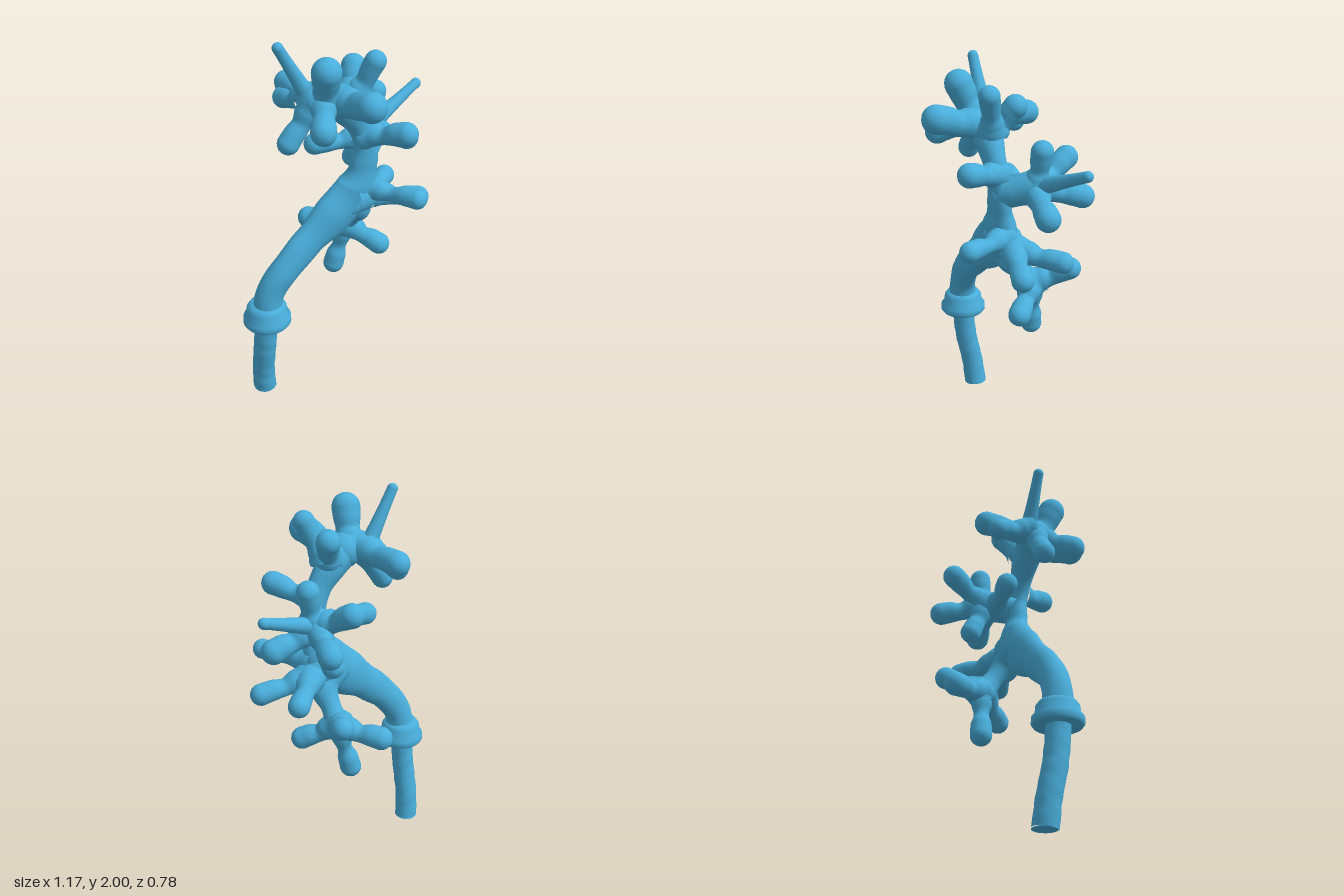
import * as THREE from 'three';
import { mergeGeometries, mergeVertices } from 'three/addons/utils/BufferGeometryUtils.js';

const blue = new THREE.MeshStandardMaterial({ color: 0x49aedb });
blue.name = 'blue';

// Drop seams so that the normals are smooth all round
function smooth(geo) {
  geo.deleteAttribute('uv');
  geo.deleteAttribute('normal');
  const g = mergeVertices(geo, 1e-4);
  g.computeVertexNormals();
  return g;
}

// Ball that closes the end of a tube
function ball([x, y, z, r], sy = 1) {
  return smooth(new THREE.SphereGeometry(r, 20, 14).scale(1, sy, 1).translate(x, y, z));
}

// Tube through points [x, y, z, radius]; flat thins it in z midway, ripple makes it uneven
function sweep(pts, { seg = 28, sides = 18, flat = 0, ripple = 0 } = {}) {
  const curve = new THREE.CatmullRomCurve3(pts.map(p => new THREE.Vector3(p[0], p[1], p[2])));
  const geo = new THREE.TubeGeometry(curve, seg, 1, sides);
  const pos = geo.attributes.position, nor = geo.attributes.normal;
  for (let i = 0; i <= seg; i++) {
    const u = i / seg, c = curve.getPointAt(u);
    const t = curve.getUtoTmapping(u) * (pts.length - 1);
    const k = Math.min(Math.floor(t), pts.length - 2);
    const base = THREE.MathUtils.lerp(pts[k][3], pts[k + 1][3], THREE.MathUtils.smoothstep(t - k, 0, 1));
    const zs = 1 - flat * Math.sin(Math.PI * u);
    for (let j = 0; j <= sides; j++) {
      const n = i * (sides + 1) + j;
      const a = (j / sides) * Math.PI * 2;
      const r = base * (1 + ripple * (Math.sin(u * 43 + 3 * Math.sin(a)) + Math.sin(u * 29 + 2 * Math.cos(a))));
      pos.setXYZ(n, c.x + nor.getX(n) * r, c.y + nor.getY(n) * r, c.z + nor.getZ(n) * r * zs);
    }
  }
  return smooth(geo);
}

// Branch from a hub: flared root, narrow neck, rounded swollen tip
function club(root, tip, neck = 0.046, flare = 0.078) {
  const at = (f, r) => [0, 1, 2].map(i => root[i] + (tip[i] - root[i]) * f).concat(r);
  const mid = at(0.5, neck);
  mid[1] -= 0.008;
  const pts = [at(0, flare), at(0.25, (flare + neck) / 2), mid, at(0.78, tip[3] * 0.96), tip];
  return mergeGeometries([sweep(pts, { seg: 18, sides: 16 }), ball(tip)]);
}

// Thin straight rod with a rounded end
function rod(root, tip) {
  return mergeGeometries([sweep([root, tip], { seg: 6, sides: 12 }), ball(tip)]);
}

export function createModel() {
  const model = new THREE.Group();
  const add = (name, geo, parent = model) => {
    const m = new THREE.Mesh(geo, blue);
    m.name = name;
    parent.add(m);
  };

  // Leaning lower tube with a closed foot
  const foot = [-0.455, 0.01, -0.105, 0.062];
  add('lowerTube', mergeGeometries([
    sweep([foot, [-0.465, 0.15, -0.09, 0.06], [-0.47, 0.32, -0.055, 0.06], [-0.465, 0.53, -0.03, 0.06]],
      { seg: 40, ripple: 0.012 }),
    ball(foot, 0.15)]));

  // Stepped collar
  const profile = [[0, 0.495], [0.115, 0.492], [0.125, 0.505], [0.124, 0.535], [0.108, 0.552],
    [0.104, 0.59], [0.09, 0.61], [0.07, 0.62], [0, 0.62]].map(p => new THREE.Vector2(...p));
  add('collar', new THREE.LatheGeometry(profile, 32).translate(-0.46, 0, -0.032));

  // Widening trunk that narrows again to the top
  add('trunk', sweep([
    [-0.46, 0.57, -0.03, 0.078], [-0.44, 0.68, -0.02, 0.076], [-0.36, 0.8, 0, 0.082],
    [-0.22, 0.925, 0.01, 0.092], [-0.06, 1.05, 0.02, 0.122], [0.055, 1.17, 0.04, 0.118],
    [0.085, 1.3, 0.06, 0.078], [0.09, 1.42, 0.07, 0.066], [0.055, 1.53, 0.07, 0.068],
    [-0.02, 1.63, 0.06, 0.08], [-0.11, 1.69, 0.06, 0.08],
  ], { seg: 90, sides: 24, flat: 0.38, ripple: 0.009 }));

  // Each cluster: stems joining the trunk, hub balls, then branches [root, tip, neck, flare]
  const clusters = {
    lowerCluster: {
      stems: [[[0.0, 1.1, 0.02, 0.09], [0.09, 1.02, 0, 0.075], [0.105, 0.93, -0.07, 0.052], [0.11, 0.85, -0.13, 0.065]]],
      hubs: [[0.11, 0.85, -0.13, 0.072]],
      clubs: [
        [[0.11, 0.86, -0.14], [0.225, 0.945, -0.28, 0.058]],
        [[0.11, 0.85, -0.14], [0.005, 0.82, -0.33, 0.06]],
        [[0.11, 0.85, -0.12], [0.222, 0.755, 0.025, 0.058]],
        [[0.11, 0.85, -0.13], [0.052, 0.595, -0.16, 0.056], 0.038, 0.07],
      ],
    },
    middleCluster: {
      stems: [[[0.02, 1.12, 0.03, 0.1], [0.1, 1.11, 0.03, 0.092], [0.17, 1.09, 0.02, 0.066]]],
      hubs: [[0.17, 1.09, 0.02, 0.068]],
      clubs: [
        [[0.12, 1.15, 0.05], [0.23, 1.165, 0.315, 0.052], 0.038],
        [[0.17, 1.09, 0.03], [0.4, 1.035, 0.125, 0.056]],
        [[0.17, 1.09, 0.01], [0.37, 1.06, -0.13, 0.055]],
      ],
    },
    sideCluster: {
      stems: [[[0.08, 1.36, 0.06, 0.072], [0.14, 1.39, 0.01, 0.077], [0.21, 1.42, -0.07, 0.085]]],
      hubs: [[0.2, 1.415, -0.07, 0.088]],
      clubs: [
        [[0.22, 1.4, -0.06], [0.415, 1.325, -0.005, 0.062], 0.05],
        [[0.21, 1.41, -0.09], [0.305, 1.36, -0.285, 0.06]],
        [[0.2, 1.42, -0.09], [0.165, 1.525, -0.28, 0.06]],
        [[0.22, 1.43, -0.07], [0.255, 1.605, -0.075, 0.056]],
        [[0.2, 1.4, -0.08], [0.18, 1.22, -0.165, 0.055]],
        [[0.15, 1.4, -0.03], [-0.1, 1.4, -0.1, 0.055], 0.04],
        [[0.08, 1.47, 0.07], [0.175, 1.525, 0.28, 0.06], 0.045],
      ],
      rods: [[[0.22, 1.42, -0.07, 0.048], [0.557, 1.555, -0.12, 0.027]]],
    },
    topCluster: {
      stems: [[[-0.02, 1.65, 0.06, 0.08], [-0.1, 1.69, 0.06, 0.085], [-0.17, 1.7, 0.03, 0.08]],
        [[-0.05, 1.66, 0.06, 0.08], [0.0, 1.68, 0.06, 0.077], [0.03, 1.7, 0.05, 0.064]]],
      hubs: [[-0.17, 1.7, 0.03, 0.08], [0.03, 1.7, 0.05, 0.064], [-0.1, 1.69, 0.06, 0.09]],
      clubs: [
        [[-0.14, 1.7, 0.06], [-0.18, 1.875, 0.13, 0.072], 0.06, 0.08],
        [[-0.07, 1.69, 0.08], [-0.065, 1.745, 0.32, 0.073], 0.065, 0.085],
        [[0.03, 1.68, 0.06], [0.1, 1.865, 0.125, 0.053]],
        [[0.02, 1.69, 0.04], [0.085, 1.795, -0.03, 0.06], 0.054],
        [[-0.17, 1.7, 0.02], [-0.155, 1.69, -0.255, 0.062], 0.055],
        [[-0.19, 1.7, -0.02], [-0.205, 1.64, -0.21, 0.054]],
        [[-0.15, 1.7, 0.06], [-0.258, 1.63, 0.215, 0.062], 0.052],
        [[-0.18, 1.69, 0.02], [-0.315, 1.505, 0.0, 0.055], 0.048],
      ],
      rods: [[[-0.18, 1.7, -0.02, 0.045], [-0.33, 1.973, -0.04, 0.027]]],
    },
  };

  for (const [name, c] of Object.entries(clusters)) {
    const group = new THREE.Group();
    group.name = name;
    model.add(group);
    c.stems.forEach(s => add('stem', sweep(s), group));
    c.hubs.forEach(h => add('hub', ball(h), group));
    c.clubs.forEach(b => add('branch', club(...b), group));
    (c.rods || []).forEach(r => add('rod', rod(...r), group));
  }
  return model;
}
